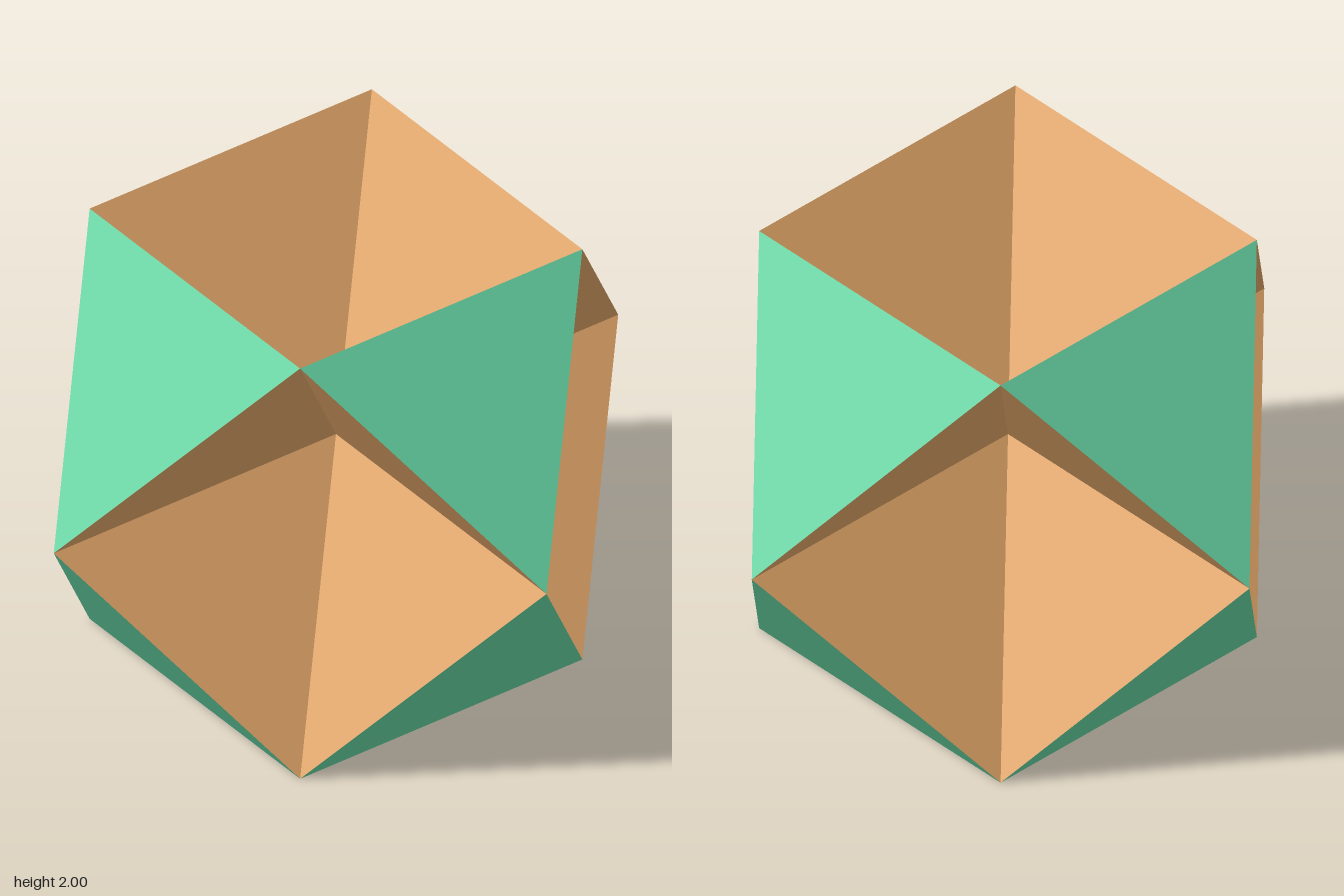
import * as THREE from 'three';

// Flat regular polygon facing `normal`, with its first corner towards `corner`.
function polygon(name, sides, radius, normal, corner, centre, material) {
  const z = normal.clone().normalize();
  const x = corner.clone().normalize();
  const y = new THREE.Vector3().crossVectors(z, x);
  const geometry = new THREE.CircleGeometry(radius, sides);
  geometry.applyMatrix4(new THREE.Matrix4().makeBasis(x, y, z).setPosition(centre));
  const mesh = new THREE.Mesh(geometry, material);
  mesh.name = name;
  return mesh;
}

export function createModel() {
  const model = new THREE.Group();
  model.name = 'octahemioctahedron';
  const solid = new THREE.Group();
  solid.name = 'faces';
  solid.position.y = 1;
  model.add(solid);

  const green = new THREE.MeshStandardMaterial({ color: 0x66d4a3, flatShading: true });
  const orange = new THREE.MeshStandardMaterial({
    color: 0xe0a468, flatShading: true, side: THREE.DoubleSide,
  });

  for (const sx of [-1, 1]) {
    for (const sy of [-1, 1]) {
      // Hexagons through the centre form the walls of the six square pits
      solid.add(polygon('hexagonFace', 6, Math.SQRT2, new THREE.Vector3(sx, sy, 1),
        new THREE.Vector3(sx, -sy, 0), new THREE.Vector3(), orange));

      // Outer triangles, one per octant
      for (const sz of [-1, 1]) {
        const normal = new THREE.Vector3(sx, sy, sz);
        solid.add(polygon('triangleFace', 3, Math.sqrt(6) / 3, normal,
          new THREE.Vector3(sx, sy, -2 * sz), normal.clone().multiplyScalar(2 / 3), green));
      }
    }
  }
  return model;
}
